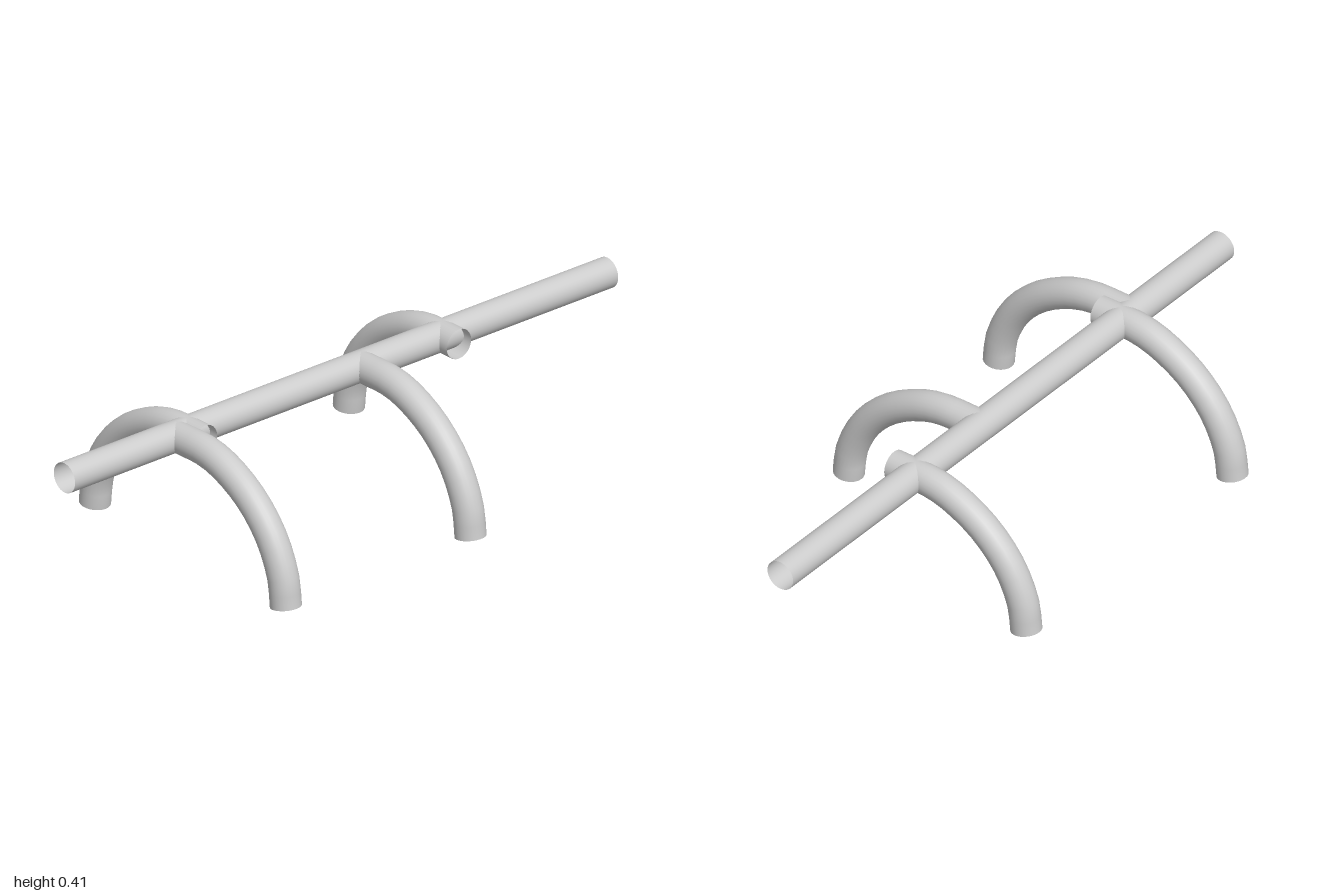
import * as THREE from 'three';

const RADIUS = 0.045;
const material = new THREE.MeshStandardMaterial({ color: 0xcccccc, side: THREE.DoubleSide });

// Leg centre line as [z, y]: from the foot up and over to just past the middle
const LEG_PATH = [
  [0.425, 0.004], [0.413, 0.09], [0.362, 0.196], [0.276, 0.283],
  [0.167, 0.341], [0.09, 0.359], [0, 0.36], [-0.038, 0.36],
];

// Open curved pipe; side is 1 for a front leg, -1 for a back leg
function makeLeg(name, x, side) {
  const points = LEG_PATH.map(([z, y]) => new THREE.Vector3(x, y, z * side));
  const curve = new THREE.CatmullRomCurve3(points);
  const leg = new THREE.Mesh(new THREE.TubeGeometry(curve, 16, RADIUS, 24), material);
  leg.name = name;
  return leg;
}

export function createModel() {
  const group = new THREE.Group();
  group.name = 'pipeRail';

  // Long open pipe running across the legs
  const bar = new THREE.Mesh(new THREE.CylinderGeometry(RADIUS, RADIUS, 2, 32, 1, true), material);
  bar.name = 'mainBar';
  bar.rotation.z = Math.PI / 2;
  bar.position.set(0, 0.36, -0.037);
  group.add(bar);

  // Two legs to the front, two to the back
  group.add(
    makeLeg('frontLegRight', -0.589, 1),
    makeLeg('frontLegLeft', 0.091, 1),
    makeLeg('backLegRight', -0.548, -1),
    makeLeg('backLegLeft', 0.387, -1),
  );
  return group;
}
